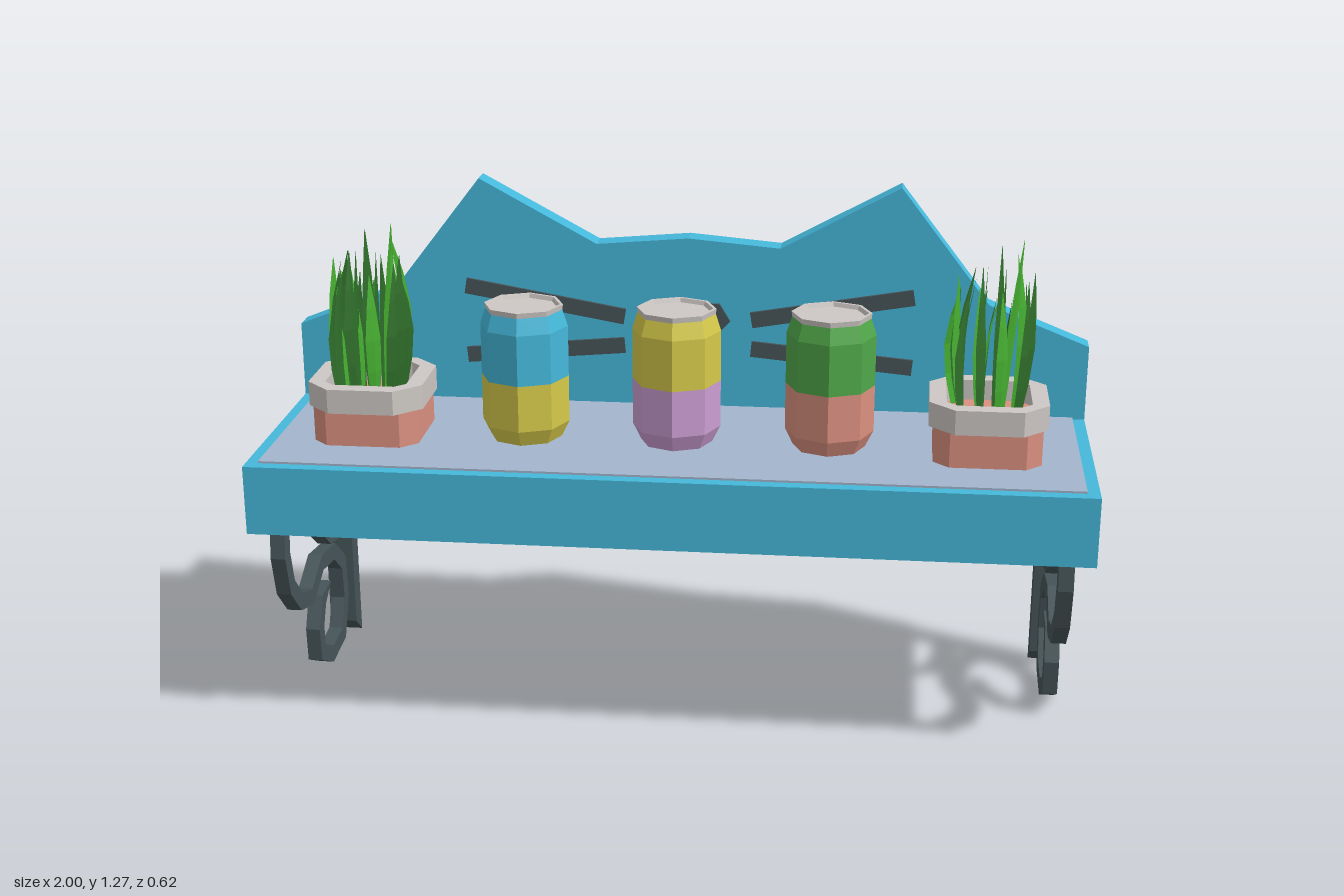
import * as THREE from 'three';
import { mergeGeometries } from 'three/addons/utils/BufferGeometryUtils.js';

const mat = (name, color, side = THREE.FrontSide) =>
  new THREE.MeshStandardMaterial({ name, color, side, flatShading: true });

const M = {
  blue: mat('sky blue', 0x45b8da),
  tray: mat('pale slate', 0xa3b5cd),
  iron: mat('dark iron', 0x465458),
  grey: mat('warm grey', 0xcdc8c4),
  clay: mat('terracotta pink', 0xdb9080),
  yellow: mat('mustard yellow', 0xd5c94a),
  lilac: mat('lilac', 0xcc9dd3),
  green: mat('can green', 0x50a84a),
  leafDark: mat('dark leaf', 0x2f6e2a, THREE.DoubleSide),
  leafLight: mat('bright leaf', 0x45ae30, THREE.DoubleSide),
};

function add(parent, name, geometry, material, x = 0, y = 0, z = 0) {
  const m = new THREE.Mesh(geometry, material);
  m.name = name;
  m.position.set(x, y, z);
  parent.add(m);
  return m;
}

const shapeOf = pts => new THREE.Shape(pts.map(p => new THREE.Vector2(p[0], p[1])));
const extrude = (shape, depth) =>
  new THREE.ExtrudeGeometry(shape, { depth, bevelEnabled: false });

// Side profile in (z, y), given a centred width along x
const sideExtrude = (pts, width) =>
  extrude(shapeOf(pts), width).translate(0, 0, -width / 2).rotateY(-Math.PI / 2);

// Outline of a bar of given thickness that follows a bent path with mitred corners
function barOutline(path, thickness, pointed) {
  const p = path.map(a => new THREE.Vector2(...a));
  const left = [], right = [];
  p.forEach((pt, i) => {
    const last = i === p.length - 1;
    const a = i ? pt.clone().sub(p[i - 1]).normalize() : p[1].clone().sub(pt).normalize();
    const b = last ? a : p[i + 1].clone().sub(pt).normalize();
    const n = new THREE.Vector2(-a.y - b.y, a.x + b.x).normalize();
    const w = (pointed && last ? 0.002 : thickness / 2) / (n.x * -a.y + n.y * a.x);
    left.push([pt.x + n.x * w, pt.y + n.y * w]);
    right.unshift([pt.x - n.x * w, pt.y - n.y * w]);
  });
  return left.concat(right);
}

// Square with cut corners
function cutSquare(h, c) {
  const k = h - c;
  return [[h, -k], [h, k], [k, h], [-k, h], [-h, k], [-h, -k], [-k, -h], [k, -h]];
}

function makeBracket() {
  const g = new THREE.Group();
  const post = [[-0.31, 0], [-0.256, 0.045], [-0.256, 0.525], [-0.31, 0.525]];
  add(g, 'bracketPost', sideExtrude(post, 0.07), M.iron);
  const scroll = [[0.257, 0.525], [0.267, 0.45], [0.24, 0.355], [0.17, 0.287], [0.075, 0.26],
    [-0.027, 0.31], [-0.145, 0.293], [-0.225, 0.23], [-0.235, 0.128], [-0.19, 0.04],
    [-0.078, 0.03], [0.01, 0.075], [0.015, 0.145], [-0.02, 0.21], [-0.09, 0.232]];
  add(g, 'bracketScroll', sideExtrude(barOutline(scroll, 0.042, true), 0.036), M.iron);
  const brace = [[-0.017, 0.525], [-0.04, 0.45], [-0.07, 0.385], [-0.125, 0.345], [-0.26, 0.322]];
  add(g, 'bracketBrace', sideExtrude(barOutline(brace, 0.042), 0.036), M.iron);
  return g;
}

function makeCan(upper, lower) {
  const g = new THREE.Group();
  const lathe = pts => new THREE.LatheGeometry(pts.map(p => new THREE.Vector2(...p)), 8);
  add(g, 'canLower', lathe([[0, 0], [0.085, 0], [0.107, 0.045], [0.107, 0.16]]), lower);
  add(g, 'canUpper', lathe([[0.107, 0.16], [0.107, 0.285], [0.094, 0.325]]), upper);
  add(g, 'canLid', lathe([[0.094, 0.325], [0.096, 0.338], [0.088, 0.338], [0.084, 0.328], [0, 0.328]]), M.grey);
  return g;
}

// Folded blade of grass: five cross-sections of edge, midrib, edge
function bladeGeometry(x, z, angle, height, width, leanX, leanZ) {
  const widths = [0.55, 0.9, 1, 0.6, 0.04];
  const dx = Math.sin(angle), dz = Math.cos(angle);
  const pos = [], index = [];
  widths.forEach((w, i) => {
    const t = i / 4, h = w * width / 2;
    const bulge = Math.sin(t * Math.PI) * 0.2;
    const cx = x * (1 + bulge) + leanX * t * t, cz = z * (1 + bulge) + leanZ * t * t;
    for (const s of [-1, 0, 1]) {
      const fold = s ? 0 : 0.2 * h;
      pos.push(cx + dx * h * s + dz * fold, height * t, cz + dz * h * s - dx * fold);
    }
    if (i < 4) for (const k of [0, 1]) {
      const a = i * 3 + k;
      index.push(a, a + 1, a + 3, a + 1, a + 4, a + 3);
    }
  });
  const geo = new THREE.BufferGeometry();
  geo.setAttribute('position', new THREE.Float32BufferAttribute(pos, 3));
  geo.setIndex(index);
  geo.computeVertexNormals();
  return geo;
}

function makePlant() {
  const g = new THREE.Group();
  // Pot, soil and rim
  const body = extrude(shapeOf(cutSquare(0.128, 0.038)), 0.1).rotateX(-Math.PI / 2);
  add(g, 'potBody', body, M.clay);
  const rim = shapeOf(cutSquare(0.14, 0.06));
  rim.holes.push(new THREE.Path(cutSquare(0.1, 0.025).map(p => new THREE.Vector2(...p))));
  add(g, 'potRim', extrude(rim, 0.06).rotateX(-Math.PI / 2), M.grey, 0, 0.09);
  // Grass in staggered rows
  let seed = 11;
  const rnd = () => (seed = (seed * 16807) % 2147483647) / 2147483647;
  const tones = [[], []];
  for (let r = 0; r < 4; r++) for (let c = 0; c < 6; c++) {
    const x = -0.066 + r * 0.044 + (rnd() - 0.5) * 0.025;
    const z = -0.072 + c * 0.029 + (rnd() - 0.5) * 0.02;
    const height = 0.26 + rnd() * 0.13 + (z > -0.03 ? 0.05 : 0);
    const blade = bladeGeometry(x, z, -0.35 + (rnd() - 0.5) * 0.7, Math.min(height, 0.43),
      0.035 + rnd() * 0.018, (rnd() - 0.35) * 0.05, -z * 0.4 + 0.01 + (rnd() - 0.5) * 0.04);
    tones[(r + c * 2) % 3 === 0 ? 1 : 0].push(blade);
  }
  add(g, 'darkGrass', mergeGeometries(tones[0]), M.leafDark, 0, 0.1);
  add(g, 'brightGrass', mergeGeometries(tones[1]), M.leafLight, 0, 0.1);
  return g;
}

export function createModel() {
  const root = new THREE.Group();
  root.name = 'wallShelf';

  // Shelf and its inset top
  add(root, 'shelf', new THREE.BoxGeometry(2, 0.17, 0.56), M.blue, 0, 0.605, 0.03);
  add(root, 'shelfMat', new THREE.BoxGeometry(1.94, 0.006, 0.53), M.tray, 0, 0.692, 0.015);

  // Backboard with two peaked ears
  const half = [[1, 0.88], [0.75, 0.98], [0.525, 1.27], [0.23, 1.11]];
  const outline = [[-1, 0.52], [1, 0.52], ...half, [0, 1.13],
    ...half.map(([x, y]) => [-x, y]).reverse()];
  add(root, 'backboard', extrude(shapeOf(outline), 0.06), M.blue, 0, 0, -0.31);

  // Face plates on the backboard
  const nose = [[0, 0.81], [0.107, 0.92], [0.08, 0.965], [-0.08, 0.965], [-0.107, 0.92]];
  add(root, 'nose', extrude(shapeOf(nose), 0.008), M.iron, 0, 0, -0.25);
  for (const s of [-1, 1]) {
    const whiskers = [[[0.16, 0.925], [0.565, 0.995]], [[0.16, 0.85], [0.565, 0.813]]];
    whiskers.forEach(path => {
      const pts = barOutline(path.map(([x, y]) => [x * s, y]), 0.04);
      add(root, 'whisker', extrude(shapeOf(pts), 0.008), M.iron, 0, 0, -0.25);
    });
    const bracket = makeBracket();
    bracket.name = s > 0 ? 'leftBracket' : 'rightBracket';
    bracket.position.x = s * 0.935;
    root.add(bracket);
    const plant = makePlant();
    plant.name = s > 0 ? 'leftPlant' : 'rightPlant';
    plant.position.set(s * 0.747, 0.69, 0.024);
    root.add(plant);
  }

  // Three two-tone cans
  [[M.blue, M.yellow], [M.yellow, M.lilac], [M.green, M.clay]].forEach(([up, low], i) => {
    const can = makeCan(up, low);
    can.name = 'can';
    can.position.set((i - 1) * 0.37, 0.69, 0.02);
    root.add(can);
  });
  return root;
}
